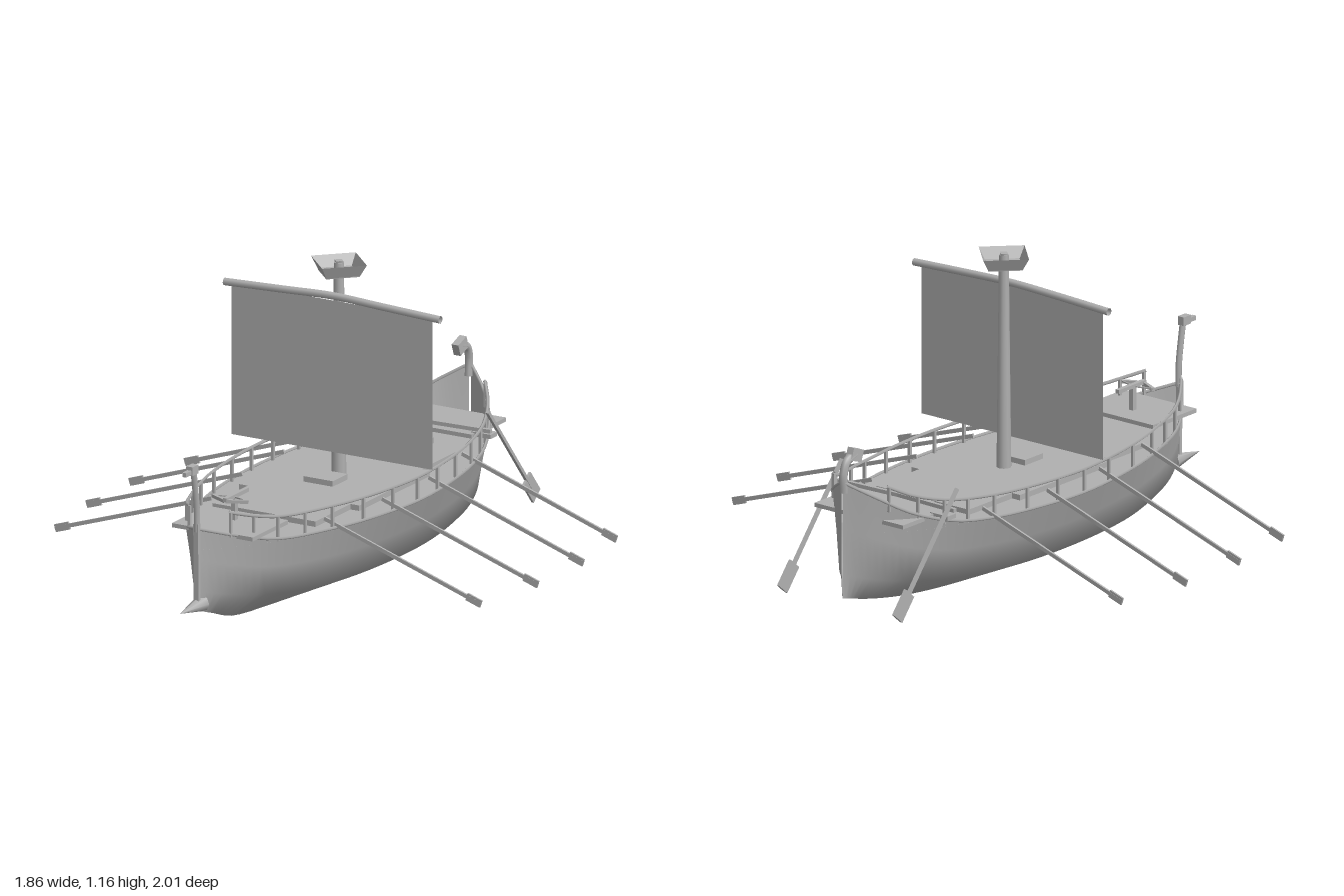
import * as THREE from 'three';

// Hull stations: z, half width, sheer height, chine height, keel height
const STATIONS = [
  [0.88, 0.004, 0.43, 0.2, 0.13], [0.78, 0.1, 0.395, 0.175, 0.095], [0.65, 0.185, 0.362, 0.15, 0.05],
  [0.4, 0.28, 0.352, 0.125, 0.022], [0.2, 0.325, 0.348, 0.12, 0.008], [-0.06, 0.35, 0.345, 0.12, 0],
  [-0.3, 0.335, 0.348, 0.12, 0.007], [-0.5, 0.3, 0.354, 0.13, 0.022], [-0.65, 0.255, 0.37, 0.14, 0.04],
  [-0.8, 0.18, 0.42, 0.16, 0.068], [-0.9, 0.095, 0.485, 0.18, 0.093], [-0.97, 0.004, 0.54, 0.2, 0.112],
];
const V = (x, y, z) => new THREE.Vector3(x, y, z);
const line = (f) => new THREE.CatmullRomCurve3(STATIONS.map((s) => V(...f(s)))).getPoints(44);
const sheer = line(([z, w, t]) => [w, t, z]);
const chine = line(([z, w, , c]) => [w * 0.75, c, z]);
const keel = line(([z, , , , k]) => [0, k, z]);

// Point on the sheer line at a given z
function sheerAt(z) {
  const i = Math.max(1, sheer.findIndex((p) => p.z <= z));
  const a = sheer[i - 1], b = sheer[i];
  return a.clone().lerp(b, (z - a.z) / (b.z - a.z));
}

// Surface joining rows of points
function loft(rows) {
  const n = rows[0].length, index = [];
  for (let r = 0; r < rows.length - 1; r++) {
    for (let i = 0; i < n - 1; i++) {
      const a = r * n + i, b = a + n;
      index.push(a, b, a + 1, b, b + 1, a + 1);
    }
  }
  const g = new THREE.BufferGeometry().setFromPoints(rows.flat());
  g.setIndex(index);
  g.computeVertexNormals();
  return g;
}

export function createModel() {
  const model = new THREE.Group();
  const grey = new THREE.MeshStandardMaterial({ color: 0xb0b0b0, side: THREE.DoubleSide });
  grey.name = 'plain grey';

  const add = (name, geo, pos = [0, 0, 0], parent = model) => {
    const m = new THREE.Mesh(geo, grey);
    m.name = name;
    m.position.set(...pos);
    parent.add(m);
    return m;
  };
  const box = (name, w, h, d, pos, parent) => add(name, new THREE.BoxGeometry(w, h, d), pos, parent);
  // Box running from a to b
  const beam = (name, a, b, w, h, parent) => {
    const m = box(name, w, h, a.distanceTo(b), [0, 0, 0], parent);
    m.position.copy(a).lerp(b, 0.5);
    m.lookAt(b);
    return m;
  };
  const tube = (name, pts, r, sides, parent) =>
    add(name, new THREE.TubeGeometry(new THREE.CatmullRomCurve3(pts), 40, r, sides), [0, 0, 0], parent);

  // Hull halves, meeting in a sharp keel
  const mirror = (pts, s) => pts.map((p) => V(p.x * s, p.y, p.z));
  for (const s of [1, -1]) {
    const rows = [sheer, chine, keel].map((r) => mirror(r, s));
    const middle = rows[0].map((p, i) => p.clone().lerp(rows[1][i], 0.5));
    const all = [rows[0], middle, rows[1], rows[2]];
    add(s > 0 ? 'hullLeft' : 'hullRight', loft(s > 0 ? all.reverse() : all));
  }

  // Main deck fitted inside the hull
  const edge = sheer.map((p, i) => {
    const y = Math.min(p.y - 0.004, 0.352);
    return p.clone().lerp(chine[i], (p.y - y) / (p.y - chine[i].y));
  }).filter((p) => p.z > -0.89);
  add('deck', loft([mirror(edge, -1), edge]));

  // Raised deck with wider middle
  const plan = new THREE.Shape([
    [0.21, 0.53], [0.21, 0.29], [0.245, 0.29], [0.245, -0.19], [0.21, -0.19], [0.21, -0.43],
    [-0.21, -0.43], [-0.21, -0.19], [-0.245, -0.19], [-0.245, 0.29], [-0.21, 0.29], [-0.21, 0.53],
  ].map(([x, y]) => new THREE.Vector2(x, y)));
  add('raisedDeck', new THREE.ExtrudeGeometry(plan, { depth: 0.02, bevelEnabled: false }), [0, 0.35, 0])
    .rotation.x = -Math.PI / 2;
  box('hatch', 0.12, 0.025, 0.09, [0, 0.36, -0.58]);
  box('mastBench', 0.12, 0.02, 0.1, [0, 0.385, 0.012]);
  box('bowPlatform', 0.33, 0.015, 0.24, [0, 0.39, 0.66]);
  box('sternPlatform', 0.4, 0.015, 0.235, [0, 0.392, -0.763]);

  // Stem, ram and figureheads
  beam('stem', V(0, 0.14, 0.882), V(0, 0.45, 0.885), 0.02, 0.015);
  const ram = add('ram', new THREE.ConeGeometry(0.03, 0.15, 8), [0, 0.15, 0.925]);
  ram.rotation.x = Math.PI / 2;
  tube('bowNeck', [V(0, 0.42, 0.882), V(0, 0.5, 0.884), V(0, 0.58, 0.895), V(0, 0.655, 0.908)], 0.012, 6);
  box('bowHead', 0.026, 0.032, 0.04, [0, 0.655, 0.915]);
  box('bowSnout', 0.016, 0.016, 0.05, [0, 0.65, 0.945]);
  tube('sternNeck', [V(0, 0.5, -0.96), V(0, 0.57, -0.963), V(0, 0.61, -0.945), V(0, 0.628, -0.9)], 0.016, 6);
  beam('sternHead', V(0, 0.635, -0.93), V(0, 0.615, -0.875), 0.028, 0.045);

  // Mast, yard, sail and lookout
  add('mast', new THREE.CylinderGeometry(0.018, 0.027, 0.8, 10), [0, 0.75, -0.08]);
  add('lookoutWalls', new THREE.CylinderGeometry(0.114, 0.085, 0.045, 4, 1, true).toNonIndexed(), [0, 1.133, -0.08])
    .geometry.computeVertexNormals();
  add('lookoutFloor', new THREE.CylinderGeometry(0.086, 0.086, 0.006, 4), [0, 1.112, -0.08]);
  add('mastTop', new THREE.CylinderGeometry(0.018, 0.018, 0.01, 4), [0, 1.152, -0.08]);
  tube('yard', [V(-0.44, 1.02, -0.037), V(-0.2, 1.03, -0.037), V(0, 1.037, -0.04), V(0.2, 1.03, -0.037),
    V(0.44, 1.02, -0.037)], 0.014, 8);
  add('sail', new THREE.PlaneGeometry(0.82, 0.555), [0, 0.745, -0.033]);

  // Mounted crossbow on the bow platform
  const crossbow = new THREE.Group();
  crossbow.name = 'crossbow';
  model.add(crossbow);
  box('crossbowPost', 0.018, 0.09, 0.018, [0, 0.435, 0.63], crossbow);
  box('crossbowStock', 0.016, 0.014, 0.15, [0, 0.485, 0.62], crossbow);
  for (const s of [1, -1]) {
    beam('crossbowArm', V(0, 0.48, 0.69), V(0.072 * s, 0.48, 0.655), 0.012, 0.012, crossbow);
    beam('crossbowString', V(0, 0.482, 0.635), V(0.072 * s, 0.482, 0.655), 0.005, 0.005, crossbow);
  }

  for (const s of [1, -1]) {
    const side = new THREE.Group();
    side.name = s > 0 ? 'leftSide' : 'rightSide';
    model.add(side);

    // Gunwale, rail and rail posts
    tube('gunwale', mirror(sheer, s), 0.006, 4, side);
    const railPoint = (z) => {
      const p = sheerAt(z);
      const lift = 0.08 - 0.02 * Math.max(0, (-z - 0.6) / 0.27);
      return V(p.x * 0.97 * s, p.y + lift, z);
    };
    tube('rail', Array.from({ length: 24 }, (_, i) => railPoint(0.8 - (i * 1.67) / 23)), 0.0065, 4, side);
    for (const z of [0.795, 0.725, 0.64, 0.53, 0.41, 0.26, 0.1, -0.05, -0.19, -0.34, -0.49, -0.6, -0.69, -0.78, -0.865]) {
      const p = railPoint(z);
      box('railPost', 0.01, 0.09, 0.01, [p.x, p.y - 0.045, z], side);
    }

    // Rowing oars
    for (const [z, inner, outer] of [[-0.5, 0.25, 0.88], [-0.2, 0.295, 0.925], [0.1, 0.285, 0.92], [0.4, 0.23, 0.868]]) {
      const a = V(inner * s, 0.377, z), b = V(outer * s, 0.165, z);
      beam('oarShaft', a, b, 0.008, 0.014, side);
      beam('oarBlade', a.clone().lerp(b, 0.91), b, 0.007, 0.028, side);
    }

    // Steering oar, its bracket and crossbar
    const top = V(0.26 * s, 0.49, -0.655), tip = V(0.26 * s, 0.095, -0.985);
    beam('steeringShaft', top, tip, 0.012, 0.012, side);
    beam('steeringBlade', top.clone().lerp(tip, 0.8), tip, 0.009, 0.06, side);
    beam('steeringCrossbar', V(0, 0.415, -0.66), V(0.265 * s, 0.415, -0.672), 0.014, 0.014, side);
    box('steeringBracket', 0.08, 0.016, 0.045, [0.225 * s, 0.395, -0.69], side);
  }
  return model;
}
